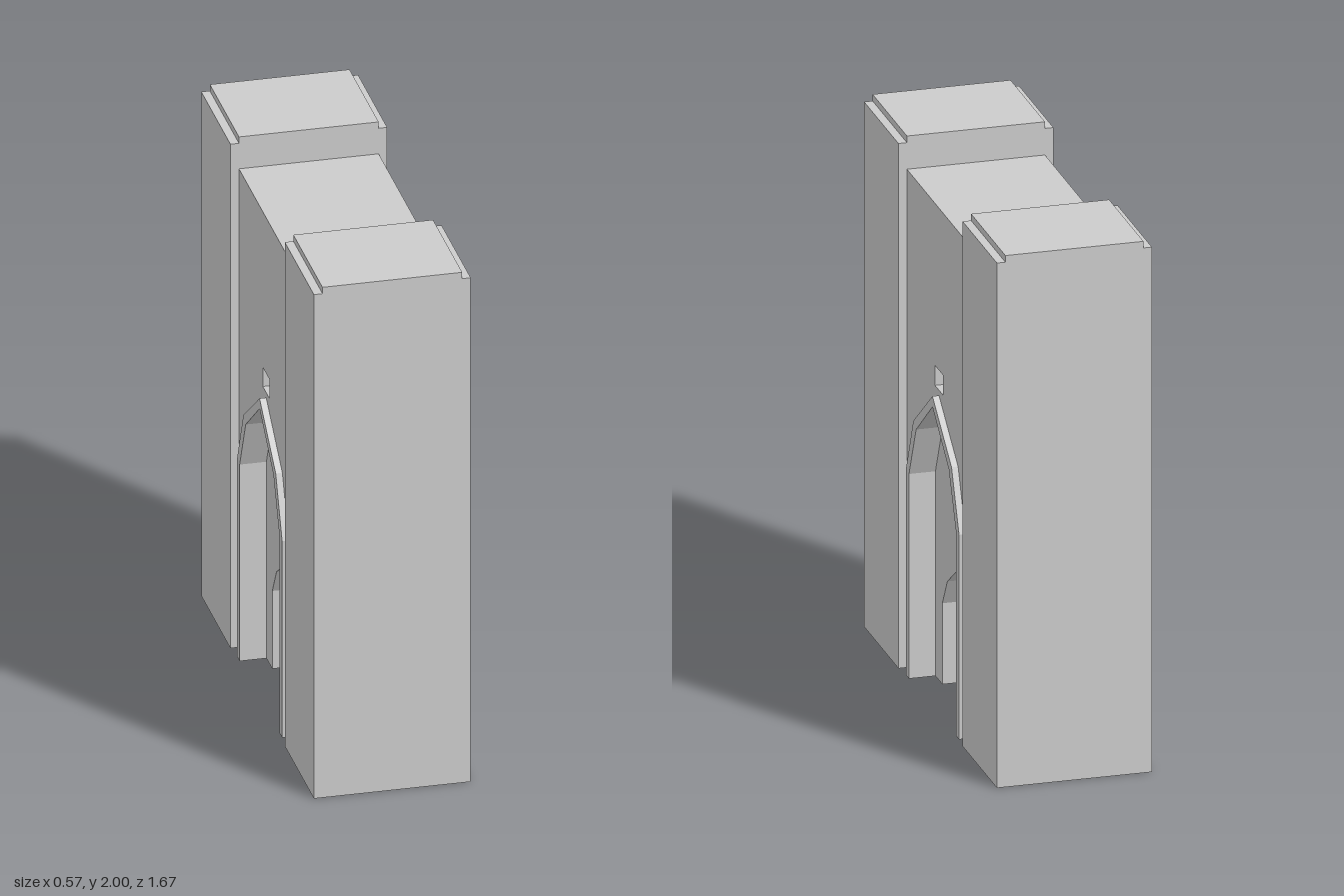
import * as THREE from 'three';

const material = new THREE.MeshStandardMaterial({ color: 0xcccccc, flatShading: true });

// Half-outlines of the pointed arches as [z, y], from the foot up to the apex
const doorArch = [[0.208, 0], [0.208, 0.305], [0.145, 0.41], [0, 0.51]];
const nicheArch = [[0.295, 0], [0.295, 0.77], [0.205, 0.97], [0, 1.13]];
const frameArch = [[0.335, 0], [0.335, 0.77], [0.24, 0.99], [0, 1.17]];

const wallHalf = 0.253, coreHalf = 0.18, frameHalf = 0.277;
const wallEnd = 0.403, wallTop = 1.875, towerEnd = 0.835;

// Full arch outline, left foot to right foot
function fullArch(half) {
  const left = half.map(([z, y]) => [-z, y]);
  return [...left, ...half.slice(0, -1).reverse()];
}

function toShape(points) {
  return new THREE.Shape(points.map(([a, b]) => new THREE.Vector2(a, b)));
}

// Extrude a z-y outline along x, between x0 and x1
function slab(name, shape, x0, x1) {
  const geometry = new THREE.ExtrudeGeometry(shape, { depth: x1 - x0, bevelEnabled: false });
  geometry.rotateY(Math.PI / 2).translate(x0, 0, 0);
  const mesh = new THREE.Mesh(geometry, material);
  mesh.name = name;
  return mesh;
}

// Wall outline with an arched opening at the foot and a small window above
function wallShape(arch) {
  const shape = toShape([
    [-wallEnd, 0], ...fullArch(arch), [wallEnd, 0], [wallEnd, wallTop], [-wallEnd, wallTop],
  ]);
  shape.holes.push(toShape([[-0.05, 1.19], [-0.05, 1.265], [0.05, 1.265], [0.05, 1.19]]));
  return shape;
}

export function createModel() {
  const model = new THREE.Group();
  model.name = 'gatehouse';

  // Thin core wall with the doorway
  model.add(slab('gateWall', wallShape(doorArch), -coreHalf, coreHalf));

  // Outer wall layers with the tall niche, and the raised frame around it
  const frameShape = toShape([...fullArch(frameArch), ...fullArch(nicheArch).reverse()]);
  for (const [side, s] of [['left', 1], ['right', -1]]) {
    const span = (a, b) => (s > 0 ? [a, b] : [-b, -a]);
    model.add(slab(side + 'NicheWall', wallShape(nicheArch), ...span(coreHalf, wallHalf)));
    model.add(slab(side + 'ArchFrame', frameShape, ...span(wallHalf, frameHalf)));
  }

  // Square towers with a stepped top edge on both sides
  const towerShape = toShape([
    [-0.284, 0], [0.284, 0], [0.284, 1.975], [0.253, 1.975],
    [0.253, 2], [-0.253, 2], [-0.253, 1.975], [-0.284, 1.975],
  ]);
  const towerGeometry = new THREE.ExtrudeGeometry(towerShape, {
    depth: towerEnd - wallEnd, bevelEnabled: false,
  });
  for (const [name, z] of [['frontTower', wallEnd], ['backTower', -towerEnd]]) {
    const tower = new THREE.Mesh(towerGeometry, material);
    tower.name = name;
    tower.position.z = z;
    model.add(tower);
  }
  return model;
}
